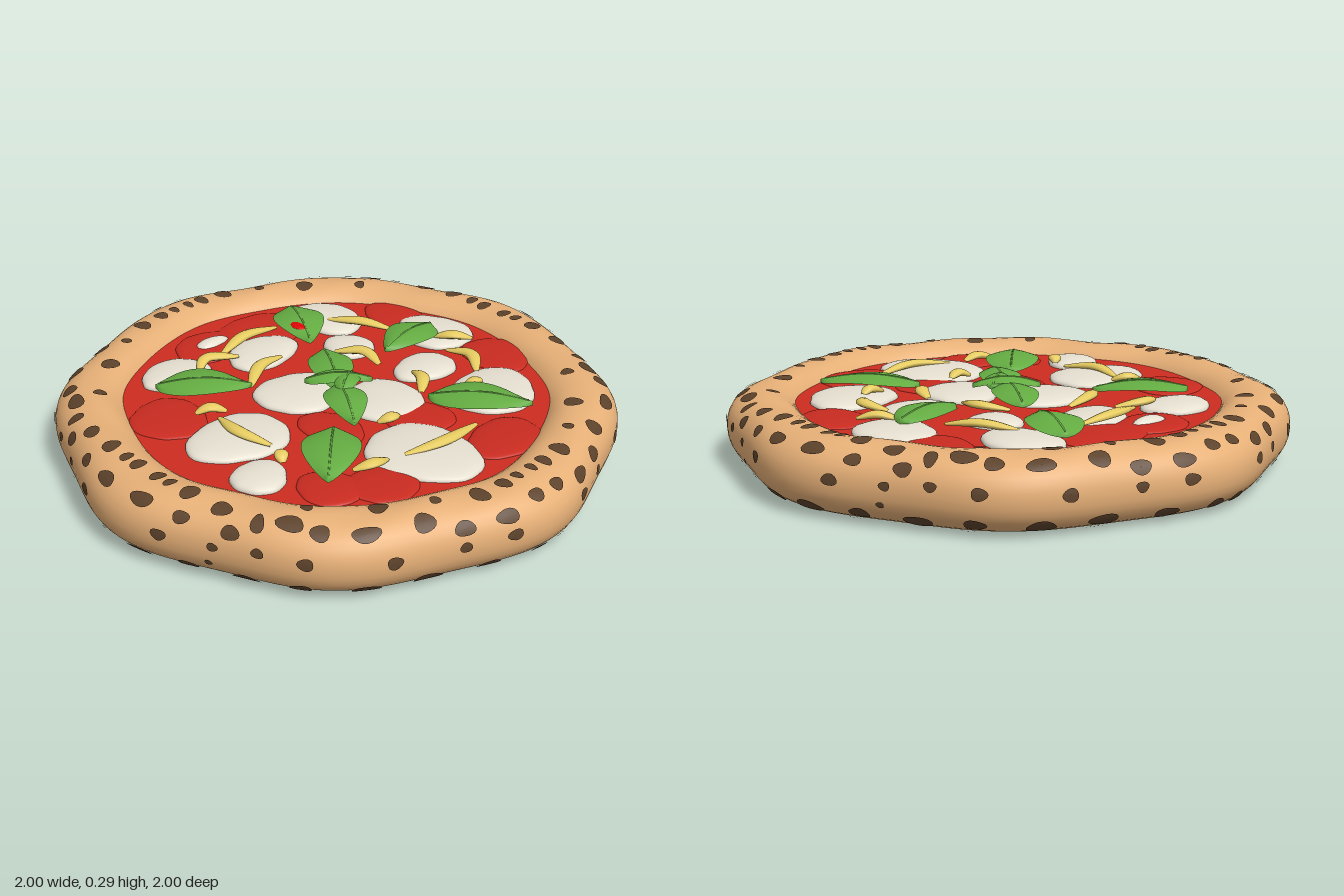
import * as THREE from 'three';
import { mergeGeometries, mergeVertices } from 'three/addons/utils/BufferGeometryUtils.js';

const mat = (name, color, side = THREE.FrontSide) => {
  const m = new THREE.MeshStandardMaterial({ color, side });
  m.name = name;
  return m;
};

// Outer and inner radius of the crust at angle u
function crustRadii(u) {
  const wave = 0.003 * Math.cos(4 * u) + 0.019 * Math.cos(8 * u);
  return [0.978 + wave, 0.718 + 0.3 * wave];
}

// Point on the lumpy crust: u runs around the pie, v around its cross-section
function crustPoint(u, v, lift = 0) {
  const [outer, inner] = crustRadii(u);
  const soft = (t) => Math.sign(t) * Math.abs(t) ** 0.92;
  const lump = 1 + 0.025 * Math.cos(14 * u + 2 * Math.sin(2 * v)) * Math.max(0, Math.sin(v));
  const rho = (outer + inner) / 2 + ((outer - inner) / 2 + lift) * soft(Math.cos(v));
  const y = 0.125 + (0.122 * lump + lift) * soft(Math.sin(v));
  return [rho * Math.cos(u), Math.max(0, y), -rho * Math.sin(u)];
}

function reshape(geo, rule) {
  const p = geo.attributes.position;
  for (let i = 0; i < p.count; i++) p.setXYZ(i, ...rule(p.getX(i), p.getY(i), p.getZ(i), i));
  geo.deleteAttribute('uv');
  geo.deleteAttribute('normal');
  const out = mergeVertices(geo, 1e-5);
  out.computeVertexNormals();
  return out;
}

function crustGeometry() {
  const geo = new THREE.TorusGeometry(1, 0.1, 32, 160);
  const uv = geo.attributes.uv.clone();
  return reshape(geo, (x, y, z, i) => crustPoint(uv.getX(i) * 2 * Math.PI, uv.getY(i) * 2 * Math.PI));
}

// Char mark that hugs the crust; w and h are half sizes
function charMark(u, v, w, h) {
  return reshape(new THREE.RingGeometry(0.01, 1, 16, 3), (x, y) => {
    const k = 1 + 0.07 * Math.sin(3 * Math.atan2(y, x) + u * 9);
    return crustPoint(u + (x * k * w) / 0.9, v + (y * k * h) / 0.13, 0.004);
  });
}

// Soft flat-topped patch with a wavy outline
function blob(x, z, rx, rz, base, height, seed) {
  return reshape(new THREE.SphereGeometry(1, 40, 14, 0, Math.PI * 2, 0, Math.PI / 2), (px, py, pz) => {
    const a = Math.atan2(pz, px);
    const k = 1 + 0.05 * Math.sin(2 * a + seed) + 0.045 * Math.sin(3 * a + seed * 2.3) + 0.012 * Math.sin(9 * a);
    return [x + px * k * rx, base + height * py ** 0.6, z + pz * k * rz];
  });
}

// Tapered, bent, slightly flattened strip through three ground points
function strip([x0, z0, x1, z1, x2, z2], y) {
  const curve = new THREE.CatmullRomCurve3([
    new THREE.Vector3(x0, y - 0.008, z0), new THREE.Vector3(x1, y + 0.006, z1), new THREE.Vector3(x2, y - 0.008, z2)]);
  const geo = new THREE.TubeGeometry(curve, 20, 0.025, 10);
  const t = geo.attributes.uv.clone();
  return reshape(geo, (x, py, z, i) => {
    const c = curve.getPointAt(t.getX(i)), k = 0.35 + 0.65 * Math.sin(Math.PI * t.getX(i));
    return [c.x + (x - c.x) * k, c.y + (py - c.y) * k * 0.55, c.z + (z - c.z) * k];
  });
}

// Height of a leaf at length t and side s
const leafHeight = (t, s) => 0.024 * Math.sin(Math.PI * t) - 0.016 * s * s;

function basilLeaf(x0, z0, x1, z1, width, y, leafMat, veinMat) {
  const leaf = new THREE.Group();
  leaf.name = 'basilLeaf';
  const len = Math.hypot(x1 - x0, z1 - z0);
  const half = (t) => (width / 2) * Math.sin(Math.PI * Math.min(1, t) ** 0.8) ** 0.8;
  // Upper face and a lower skin closing the edge
  const skin = (drop) => reshape(new THREE.PlaneGeometry(1, 2, 28, 12), (px, s) => {
    const t = px + 0.5;
    return [t * len, leafHeight(t, s) - drop * (1 - s * s), -s * half(t)];
  });
  const blade = new THREE.Mesh(mergeGeometries([skin(0), skin(0.015)]), leafMat);
  blade.name = 'leafBlade';
  const midrib = new THREE.Mesh(new THREE.TubeGeometry(new THREE.CatmullRomCurve3([0.03, 0.3, 0.6, 0.96].map((t) =>
    new THREE.Vector3(t * len, leafHeight(t, 0) - 0.0005, 0))), 16, 0.0035, 6), veinMat);
  midrib.name = 'leafMidrib';
  leaf.add(blade, midrib);
  leaf.position.set(x0, y, z0);
  leaf.rotation.y = -Math.atan2(z1 - z0, x1 - x0);
  return leaf;
}

export function createModel() {
  const group = new THREE.Group();
  group.name = 'pizza';
  const crustMat = mat('baked dough', 0xe8b178), charMat = mat('char', 0x5c422b);
  const sauceMat = mat('sauce', 0xcd2c20), baseMat = mat('sauce base', 0xdf0505);
  const tomatoMat = mat('tomato', 0xc92b20), cheeseMat = mat('mozzarella', 0xe6e0d1);
  const stripMat = mat('yellow pepper', 0xe8cd62);
  const leafMat = mat('basil', 0x64ac42, THREE.DoubleSide), veinMat = mat('basil vein', 0x70b44c);
  const add = (name, geo, material) => {
    const mesh = new THREE.Mesh(geo, material);
    mesh.name = name;
    group.add(mesh);
    return mesh;
  };

  add('crust', crustGeometry(), crustMat);

  // Char marks for one quarter, mirrored to the others
  const marks = [];
  const mark = (u, v, w, h) => {
    for (const a of [u, Math.PI - u, Math.PI + u, -u]) marks.push(charMark(a, v, w, h));
  };
  const topMarks = [ // x, z, half width, half height
    [0.05, 0.845, 0.024, 0.026], [0.11, 0.845, 0.02, 0.022], [0.2, 0.84, 0.032, 0.03], [0.09, 0.945, 0.042, 0.026],
    [0.24, 0.91, 0.028, 0.024], [0.33, 0.82, 0.036, 0.03], [0.41, 0.87, 0.03, 0.026], [0.46, 0.79, 0.022, 0.036],
    [0.54, 0.73, 0.045, 0.03], [0.52, 0.64, 0.022, 0.022], [0.63, 0.69, 0.03, 0.03], [0.73, 0.59, 0.045, 0.028],
    [0.67, 0.48, 0.036, 0.03], [0.81, 0.42, 0.036, 0.036], [0.77, 0.33, 0.02, 0.018], [0.89, 0.32, 0.034, 0.028],
    [0.84, 0.2, 0.032, 0.034], [0.94, 0.18, 0.038, 0.026], [0.85, 0.1, 0.026, 0.026], [0.945, 0.05, 0.028, 0.024],
    [0.85, 0.035, 0.018, 0.02]];
  for (const [x, z, w, h] of topMarks) {
    const u = Math.atan2(z, x);
    const [outer, inner] = crustRadii(u);
    const c = THREE.MathUtils.clamp((2 * Math.hypot(x, z) - outer - inner) / (outer - inner), -0.8, 0.84);
    mark(u, Math.acos(Math.sign(c) * Math.abs(c) ** 1.09), w, h);
  }
  const sideMarks = [ // angle in degrees, height angle in degrees, half sizes
    [79, 8, 0.026, 0.018], [68, 8, 0.018, 0.014], [59, 14, 0.02, 0.016], [50, 10, 0.024, 0.02], [34, 6, 0.024, 0.02],
    [20, 6, 0.02, 0.016], [10, 8, 0.026, 0.018], [85, -42, 0.05, 0.03], [74, -40, 0.034, 0.026], [69, -18, 0.013, 0.011],
    [62, -45, 0.048, 0.032], [51, -38, 0.034, 0.026], [39, -42, 0.045, 0.03], [27, -40, 0.048, 0.03],
    [14, -42, 0.04, 0.028], [3, -40, 0.03, 0.026]];
  for (const [a, v, w, h] of sideMarks) mark(THREE.MathUtils.degToRad(a), THREE.MathUtils.degToRad(v), w, h);
  for (let i = 0; i < 11; i++) {
    mark(0.06 + i * 0.143, -1.3 - 0.7 * (i % 3) / 2, 0.03 + 0.012 * (i % 2), 0.026 + 0.005 * (i % 3));
  }
  add('charMarks', mergeGeometries(marks), charMat);

  // Sauce bed with a darker underside
  const sauce = add('sauceBed', new THREE.CylinderGeometry(0.77, 0.74, 0.158, 96), [sauceMat, sauceMat, baseMat]);
  sauce.position.y = 0.124;

  // Tomato slices
  [[0.2, -0.63, 0.14, 0.12], [-0.29, -0.6, 0.13, 0.1], [-0.56, -0.15, 0.14, 0.16], [-0.59, 0.08, 0.12, 0.14],
    [0.62, -0.18, 0.11, 0.16], [0.54, 0.32, 0.11, 0.13], [0.44, 0.46, 0.12, 0.1], [-0.27, 0.54, 0.15, 0.13],
    [0.17, 0.19, 0.13, 0.1], [0.32, -0.08, 0.12, 0.12]].forEach(([x, z, rx, rz], i) =>
    add('tomatoSlice', blob(x, z, rx, rz, 0.198, 0.02, i * 1.7), tomatoMat));

  // Mozzarella
  [[-0.08, -0.6, 0.145, 0.13], [0.09, -0.36, 0.1, 0.12], [0.38, -0.4, 0.15, 0.17], [-0.45, -0.39, 0.145, 0.12],
    [-0.22, -0.28, 0.1, 0.085], [0.16, -0.08, 0.145, 0.14], [0.5, 0.09, 0.2, 0.18], [-0.09, 0.1, 0.15, 0.15],
    [-0.41, -0.02, 0.11, 0.15], [-0.5, 0.32, 0.1, 0.14], [0, 0.46, 0.155, 0.18], [0.235, 0.58, 0.095, 0.1],
    [-0.59, 0.07, 0.035, 0.075]].forEach(([x, z, rx, rz], i) =>
    add('mozzarella', blob(x, z, rx, rz, 0.198, 0.036, 2 + i * 2.1), cheeseMat));

  // Yellow strips
  [[-0.41, -0.36, -0.29, -0.42, -0.18, -0.47], [-0.03, -0.54, 0.03, -0.58, 0.08, -0.63],
    [0.08, -0.49, 0.18, -0.51, 0.27, -0.44], [-0.2, -0.19, -0.11, -0.25, -0.01, -0.23],
    [0.11, -0.28, 0.18, -0.25, 0.24, -0.18], [0.52, -0.15, 0.535, 0.02, 0.49, 0.17],
    [-0.5, -0.17, -0.51, -0.02, -0.47, 0.13], [-0.31, -0.02, -0.29, 0.1, -0.21, 0.22],
    [-0.42, 0.09, -0.47, 0.2, -0.43, 0.27], [-0.2, 0.48, -0.18, 0.43, -0.14, 0.39],
    [-0.12, 0.44, 0.01, 0.47, 0.14, 0.44], [0.44, 0.36, 0.47, 0.3, 0.47, 0.23],
    [0.2, 0.45, 0.22, 0.47, 0.25, 0.49], [0.32, -0.4, 0.33, -0.36, 0.32, -0.31],
    [0.28, 0.08, 0.3, 0.04, 0.29, -0.01]].forEach((path) => add('yellowStrip', strip(path, 0.238), stripMat));

  // Basil: start x, z, tip x, z, width, height
  [[-0.09, -0.59, -0.06, -0.31, 0.18, 0.25], [-0.58, -0.32, -0.31, -0.17, 0.19, 0.245],
    [0.28, -0.17, 0.57, -0.39, 0.2, 0.245], [-0.44, 0.46, -0.21, 0.21, 0.2, 0.245],
    [0.21, 0.22, 0.44, 0.47, 0.2, 0.245], [-0.22, -0.15, 0.05, 0.03, 0.16, 0.25],
    [0.01, 0, 0.25, 0.16, 0.15, 0.252], [-0.08, 0.08, 0.08, -0.1, 0.1, 0.262],
    [0.0, -0.08, 0.09, 0.07, 0.09, 0.264]].forEach((l) => group.add(basilLeaf(...l, leafMat, veinMat)));

  // Drip of sauce on one leaf
  add('sauceDrip', blob(-0.41, -0.2, 0.045, 0.027, 0.245, 0.022, 1), baseMat);

  return group;
}
